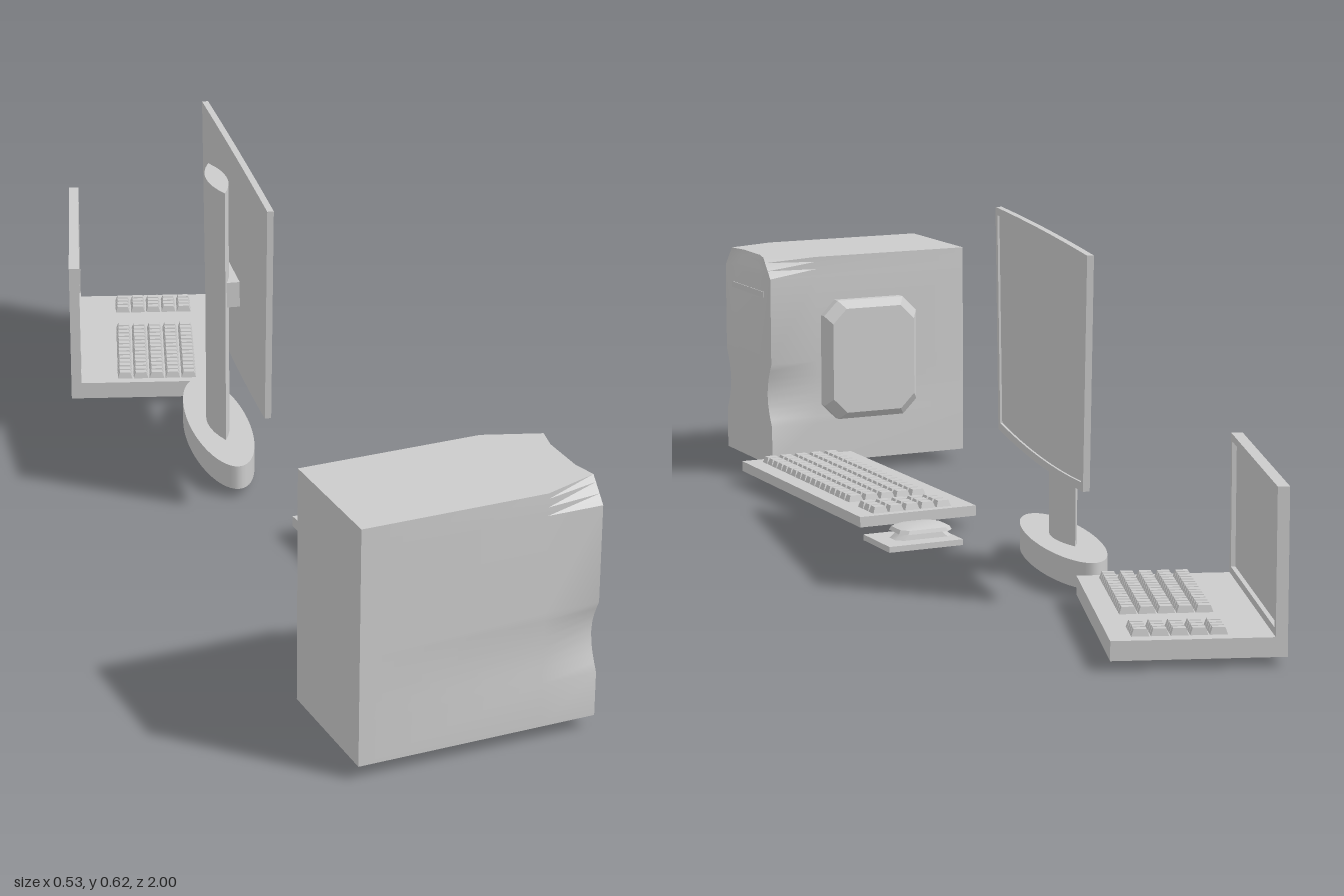
import * as THREE from 'three';
import { mergeGeometries, toCreasedNormals } from 'three/addons/utils/BufferGeometryUtils.js';

const grey = new THREE.MeshStandardMaterial({ color: 0xcccccc });

function add(parent, name, geometry, x = 0, y = 0, z = 0) {
  const mesh = new THREE.Mesh(geometry, grey);
  mesh.name = name;
  mesh.position.set(x, y, z);
  parent.add(mesh);
  return mesh;
}

function addGroup(parent, name, x = 0, z = 0, turn = 0) {
  const group = new THREE.Group();
  group.name = name;
  group.position.set(x, 0, z);
  group.rotation.y = turn;
  parent.add(group);
  return group;
}

// Box given by its limits on each axis
function addBox(parent, name, x0, x1, y0, y1, z0, z1) {
  return add(parent, name, new THREE.BoxGeometry(x1 - x0, y1 - y0, z1 - z0),
    (x0 + x1) / 2, (y0 + y1) / 2, (z0 + z1) / 2);
}

// Closed skin over stacked rings, each counter-clockwise seen from above
function loft(rings, crease = 0.5) {
  const n = rings[0].length, pos = rings.flat(2), idx = [];
  for (let r = 0; r < rings.length - 1; r++) {
    for (let i = 0; i < n; i++) {
      const a = r * n + i, b = r * n + (i + 1) % n;
      idx.push(a, b, b + n, a, b + n, a + n);
    }
  }
  [rings[0], rings[rings.length - 1]].forEach((ring, top) => {
    const c = pos.length / 3, o = top ? (rings.length - 1) * n : 0;
    for (let k = 0; k < 3; k++) pos.push(ring.reduce((s, p) => s + p[k], 0) / n);
    for (let i = 0; i < n; i++) {
      const a = o + i, b = o + (i + 1) % n;
      idx.push(c, top ? a : b, top ? b : a);
    }
  });
  const g = new THREE.BufferGeometry();
  g.setAttribute('position', new THREE.Float32BufferAttribute(pos, 3));
  g.setIndex(idx);
  return toCreasedNormals(g, crease);
}

// Outline with cut corners
function octagon(w, h, cut) {
  const a = w / 2, b = h / 2;
  return [[a, -b + cut], [a, b - cut], [a - cut, b], [-a + cut, b],
    [-a, b - cut], [-a, -b + cut], [-a + cut, -b], [a - cut, -b]];
}

// Upright plate in the y-z plane, thickened along +x
function plate(points, depth, hole) {
  const shape = new THREE.Shape(points.map(p => new THREE.Vector2(...p)));
  if (hole) shape.holes.push(new THREE.Path(hole.map(p => new THREE.Vector2(...p))));
  return new THREE.ExtrudeGeometry(shape, { depth, bevelEnabled: false }).rotateY(Math.PI / 2);
}

// Grid of tapered key caps
function keyGrid(x0, x1, z0, z1, y, rows, cols) {
  const px = (x1 - x0) / rows, pz = (z1 - z0) / cols, keys = [];
  const cap = new THREE.CylinderGeometry(0.33 * Math.SQRT2, 0.46 * Math.SQRT2, 1, 4, 1)
    .rotateY(Math.PI / 4).toNonIndexed();
  cap.computeVertexNormals();
  cap.scale(px, 0.012, pz);
  for (let i = 0; i < rows; i++) {
    for (let j = 0; j < cols; j++) {
      keys.push(cap.clone().translate(x0 + (i + 0.5) * px, y + 0.006, z0 + (j + 0.5) * pz));
    }
  }
  return mergeGeometries(keys);
}

function buildTower(model) {
  const tower = addGroup(model, 'computerTower', 0, 0.8775);
  const rings = [];
  const levels = [0.025, 0.105, 0.12, 0.135, 0.15, 0.17, 0.19, 0.205, 0.22, 0.235, 0.41, 0.425, 0.44, 0.45];
  for (const y of levels) {
    // Front sides pinch at the waist and taper at the top
    const t = (y - 0.17) / 0.065;
    const waist = Math.abs(t) < 1 ? 0.022 * Math.cos(t * Math.PI / 2) : 0;
    const crown = Math.max(0, (y - 0.41) / 0.04);
    const h = 0.1225 - waist - 0.036 * crown;
    const f = 0.165, mid = f - 0.01 * crown;
    rings.push([[-0.265, y, 0.1225], [0.065, y, 0.1225], [f, y, h], [mid, y, h * 0.5], [mid, y, -h * 0.5],
      [f, y, -h], [0.065, y, -0.1225], [-0.265, y, -0.1225]]);
  }
  add(tower, 'towerCase', loft(rings));
  addBox(tower, 'driveSlot', 0.15, 0.1665, 0.368, 0.38, -0.085, 0.085);

  // Chamfered bulge on the side panel
  const ring = (w, h, d) => octagon(w, h, 0.03).map(([x, y]) => [x, d, y]).reverse();
  const bulge = add(tower, 'sidePanelBulge',
    loft([ring(0.205, 0.245, 0), ring(0.205, 0.245, 0.018), ring(0.18, 0.215, 0.036)], 0.3), -0.0475, 0.237, -0.1215);
  bulge.rotation.x = -Math.PI / 2;
}

function buildKeyboard(model) {
  const keyboard = addGroup(model, 'keyboard');
  addBox(keyboard, 'keyboardBase', -0.005, 0.235, 0.024, 0.044, 0.15, 0.745);
  add(keyboard, 'mainKeys', keyGrid(0.038, 0.202, 0.28, 0.72, 0.044, 5, 18));
  add(keyboard, 'sideKeys', keyGrid(0.038, 0.202, 0.165, 0.24, 0.044, 5, 3));
}

function buildMouse(model) {
  const mouse = addGroup(model, 'mouseAndPad', 0.14, 0.0875);
  addBox(mouse, 'mousePad', -0.06, 0.09, 0, 0.011, -0.06, 0.06);
  const ring = (w, d, y) => octagon(w, d, 0.013).map(([x, z]) => [x, y, z]).reverse();
  add(mouse, 'mouseBody', loft([ring(0.115, 0.05, 0.011), ring(0.09, 0.045, 0.023),
    ring(0.108, 0.073, 0.024), ring(0.1, 0.068, 0.031), ring(0.07, 0.05, 0.036)], 0.6), 0, 0, 0);
}

function buildMonitor(model) {
  const monitor = addGroup(model, 'monitor', 0.045, -0.23, -0.207);

  // Slightly tapered panel with bowed top and bottom edges
  const outline = (inset) => {
    const pts = [];
    for (let i = 0; i <= 8; i++) {
      const s = i / 4 - 1;
      pts.push([s * (0.297 - inset), 0.197 + 0.01 * s * s + inset]);
    }
    for (let i = 8; i >= 0; i--) {
      const s = i / 4 - 1;
      pts.push([s * (0.318 - inset), 0.623 - 0.003 * s * s - 0.003 * s - inset]);
    }
    return pts;
  };
  add(monitor, 'screenPanel', plate(outline(0), 0.008), -0.006);
  add(monitor, 'screenBezel', plate(outline(0), 0.004, outline(0.014)), 0.002);

  // Stand: oval foot, lens-shaped column, bracket
  const foot = new THREE.CylinderGeometry(1, 1, 0.047, 48).scale(0.058, 1, 0.212);
  add(monitor, 'standFoot', foot, -0.034, 0.0415, -0.018);
  const lens = [];
  for (let i = 0; i < 16; i++) {
    const s = i < 8 ? 1 - i / 4 : (i - 8) / 4 - 1;
    lens.push([(i < 8 ? 1 : -1) * 0.02 * (1 - s * s), 0, s * 0.084]);
  }
  const column = [0.06, 0.57].map(y => lens.map(p => [p[0], y, p[2]]));
  add(monitor, 'standColumn', loft(column, 0.6), -0.036, 0, -0.012);
  addBox(monitor, 'screenBracket', -0.032, -0.005, 0.335, 0.385, -0.085, 0.06);
}

function buildLaptop(model) {
  const laptop = addGroup(model, 'laptop', 0.045, -0.738, -0.357);
  addBox(laptop, 'laptopBase', -0.144, 0.144, 0.016, 0.049, -0.23, 0.23);
  add(laptop, 'laptopMainKeys', keyGrid(-0.052, 0.108, -0.055, 0.212, 0.049, 5, 14));
  add(laptop, 'laptopSideKeys', keyGrid(-0.052, 0.108, -0.205, -0.135, 0.049, 5, 4));
  const rect = (a, y0, y1) => [[-a, y0], [a, y0], [a, y1], [-a, y1]];
  add(laptop, 'laptopLid', plate(rect(0.23, 0.049, 0.296), 0.012), -0.144);
  add(laptop, 'laptopScreenBezel', plate(rect(0.23, 0.049, 0.296), 0.008, rect(0.217, 0.062, 0.283)), -0.132);
}

export function createModel() {
  const model = new THREE.Group();
  model.name = 'computerSet';
  buildTower(model);
  buildKeyboard(model);
  buildMouse(model);
  buildMonitor(model);
  buildLaptop(model);
  return model;
}
